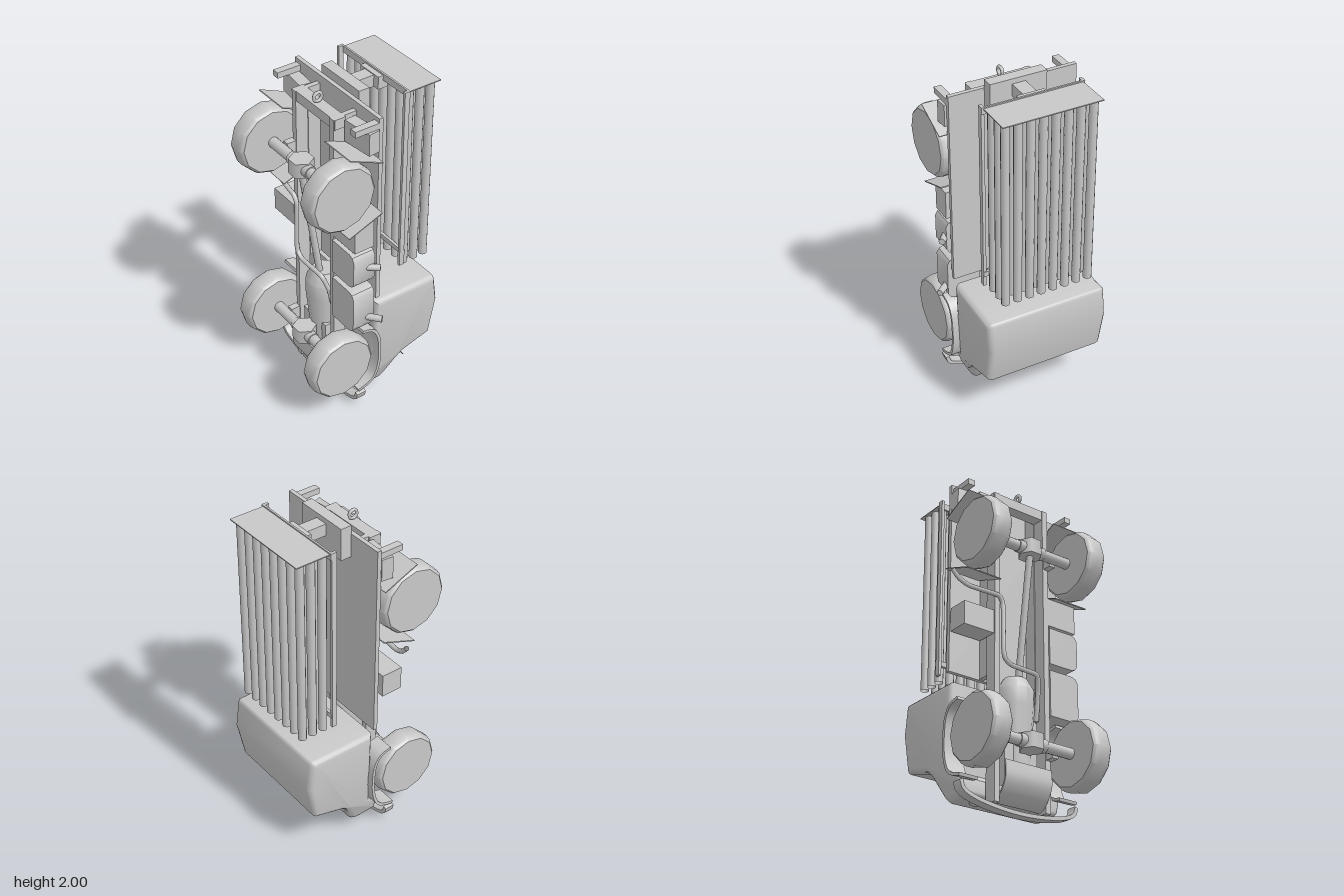
import * as THREE from 'three';
import { toCreasedNormals } from 'three/addons/utils/BufferGeometryUtils.js';

const grey = new THREE.MeshStandardMaterial({ color: 0xc8c8c8, side: THREE.DoubleSide });
grey.name = 'plain grey';

// The truck stands on its nose: forward is -y, its roof faces -z.
export function createModel() {
  const root = new THREE.Group();
  root.name = 'rocketTruck';
  const truck = new THREE.Group();
  truck.name = 'truck';
  truck.position.x = 0.015; // centre line of the chassis
  root.add(truck);

  const add = (name, geo, x = 0, y = 0, z = 0) => {
    const m = new THREE.Mesh(geo, grey);
    m.name = name;
    m.position.set(x, y, z);
    truck.add(m);
    return m;
  };
  // box given by its limits on each axis
  const box = (name, x0, x1, y0, y1, z0, z1) =>
    add(name, new THREE.BoxGeometry(x1 - x0, y1 - y0, z1 - z0), (x0 + x1) / 2, (y0 + y1) / 2, (z0 + z1) / 2);
  const tube = (name, pts, r, sides = 8) => {
    const path = new THREE.CatmullRomCurve3(pts.map(p => new THREE.Vector3(...p)), false, 'catmullrom', 0.25);
    return add(name, new THREE.TubeGeometry(path, pts.length * 6, r, sides));
  };
  const rod = (name, a, b, r, sides = 12) => {
    const p = new THREE.Vector3(...a), q = new THREE.Vector3(...b);
    const m = add(name, new THREE.CylinderGeometry(r, r, p.distanceTo(q), sides));
    m.position.copy(p).add(q).multiplyScalar(0.5);
    m.quaternion.setFromUnitVectors(new THREE.Vector3(0, 1, 0), q.sub(p).normalize());
    return m;
  };
  const extrude = (shape, depth, bevel = 0) => {
    const g = new THREE.ExtrudeGeometry(shape, {
      depth: depth - 2 * bevel, bevelEnabled: bevel > 0, bevelSize: bevel,
      bevelThickness: bevel, bevelOffset: -bevel, bevelSegments: 3, curveSegments: 6
    });
    return g.translate(0, 0, -(depth - 2 * bevel) / 2);
  };
  // curved strip of constant thickness, extruded across its width
  const strip = (pts, thick, width) => {
    const curve = new THREE.SplineCurve(pts.map(p => new THREE.Vector2(...p)));
    const side = s => curve.getPoints(20).map((p, i) => {
      const t = curve.getTangent(i / 20);
      return new THREE.Vector2(p.x - t.y * s, p.y + t.x * s);
    });
    const shape = new THREE.Shape([...side(thick / 2), ...side(-thick / 2).reverse()]);
    return toCreasedNormals(extrude(shape, width), 0.6);
  };
  // side profiles use (-z, y)
  const sideways = g => g.rotateY(Math.PI / 2);

  // Cab with bonnet: side profile, rounded edges, narrowing nose
  const cabShape = new THREE.Shape();
  cabShape.moveTo(0, 0.725);
  cabShape.lineTo(0.405, 0.725);
  cabShape.quadraticCurveTo(0.42, 0.725, 0.425, 0.70);
  cabShape.lineTo(0.447, 0.54);
  cabShape.lineTo(0.40, 0.31);
  cabShape.lineTo(0.21, 0.257);
  cabShape.quadraticCurveTo(0.185, 0.245, 0.17, 0.21);
  cabShape.lineTo(0.12, 0.11);
  cabShape.quadraticCurveTo(0.095, 0.065, 0.06, 0.065);
  cabShape.lineTo(-0.05, 0.07);
  cabShape.quadraticCurveTo(-0.08, 0.075, -0.08, 0.1);
  cabShape.lineTo(-0.07, 0.17);
  cabShape.lineTo(0, 0.22);
  const cabGeo = sideways(extrude(cabShape, 0.74, 0.035));
  const p = cabGeo.attributes.position;
  for (let i = 0; i < p.count; i++) {
    const t = THREE.MathUtils.clamp((0.26 - p.getY(i)) / 0.2, 0, 1);
    p.setX(i, p.getX(i) * (1 - 0.18 * t));
  }
  cabGeo.deleteAttribute('normal');
  add('cab', toCreasedNormals(cabGeo, 0.6));

  // Chassis frame and load bed
  box('loadBed', -0.385, 0.375, 0.775, 1.95, -0.013, 0.012);
  box('rearCrossMember', -0.195, 0.195, 1.84, 1.9, 0.09, 0.16);
  box('frontCrossMember', -0.19, 0.19, 0.1, 0.14, 0.09, 0.15);
  const hook = add('towHook', new THREE.TorusGeometry(0.025, 0.01, 6, 14), 0, 1.935, 0.13);
  hook.rotation.y = Math.PI / 2;

  // Wheel profile: flat faces, rounded shoulders
  const wheelGeo = toCreasedNormals(new THREE.LatheGeometry([
    [0, -0.063], [0.187, -0.063], [0.2, -0.05], [0.207, -0.02],
    [0.207, 0.02], [0.2, 0.05], [0.187, 0.063], [0, 0.063]
  ].map(a => new THREE.Vector2(...a)), 12), 0.6).rotateZ(Math.PI / 2);

  for (const [label, y] of [['front', 0.38], ['rear', 1.55]]) {
    rod(label + 'Axle', [-0.3, y, 0.24], [0.3, y, 0.24], 0.032);
    add(label + 'Differential', new THREE.CylinderGeometry(0.07, 0.07, 0.09, 6).toNonIndexed().rotateY(Math.PI / 6), 0, y, 0.24);
    for (const s of [-1, 1]) {
      add(label + 'Wheel', wheelGeo, s * 0.334, y, 0.24);
      rod(label + 'AxleCollar', [s * 0.05, y, 0.24], [s * 0.09, y, 0.24], 0.038);
      box(label + 'Spring', s * 0.18 - 0.02, s * 0.18 + 0.02, y - 0.04, y + 0.04, 0.15, 0.22);
    }
  }

  const arch = sideways(strip([[-0.11, 0.585], [-0.04, 0.565], [0, 0.5], [0.012, 0.4],
    [0.008, 0.3], [-0.02, 0.21], [-0.07, 0.17], [-0.135, 0.152]], 0.018, 0.12));
  for (const s of [-1, 1]) {
    const mid = (name, x0, x1, ...r) => box(name, Math.min(s * x0, s * x1), Math.max(s * x0, s * x1), ...r);
    mid('chassisRail', 0.155, 0.19, 0.04, 1.9, 0.09, 0.165);
    mid('bedBearer', 0.15, 0.18, 0.78, 1.9, 0.01, 0.09);
    add('frontWheelArch', arch, s * 0.335, 0, 0);
    // Sloping mudguards before and behind the rear wheels
    const rear = add('rearMudguard', new THREE.BoxGeometry(0.228, 0.006, 0.228), s * 0.307, 1.755, 0.12);
    rear.rotation.x = -0.405;
    const fore = add('foreMudguard', new THREE.BoxGeometry(0.228, 0.006, 0.228), s * 0.307, 1.35, 0.12);
    fore.rotation.x = 0.365;
    // Rear lockers and lamp brackets
    const locker = add('rearLocker', new THREE.BoxGeometry(0.19, 0.13, 0.07), s * 0.295, 1.825, 0.06);
    locker.rotation.y = -s * -0.1;
    mid('lampBracket', 0.332, 0.375, 1.89, 1.925, 0.01, 0.16);
    // Headlamps and marker rods
    const lamp = add('headlamp', new THREE.SphereGeometry(0.034, 14, 8), s * 0.2, 0.065, 0.015);
    lamp.scale.y = 0.5;
    mid('markerRod', 0.34, 0.385, 0.255, 0.26, -0.193, -0.189);
  }

  // Bumper
  add('bumper', strip([[-0.385, 0.125], [-0.365, 0.075], [-0.28, 0.042], [-0.14, 0.02],
    [0, 0.013], [0.14, 0.02], [0.28, 0.042], [0.365, 0.075], [0.385, 0.125]], 0.022, 0.06), 0, 0, 0.115);

  // Engine guard, gearbox and drive shaft
  add('engineGuard', sideways(strip([[-0.11, 0.055], [-0.15, 0.075], [-0.19, 0.12], [-0.215, 0.18], [-0.21, 0.265]], 0.01, 0.31)));
  box('engine', -0.12, 0.1, 0.1, 0.45, 0, 0.16);
  const gearbox = add('gearbox', toCreasedNormals(new THREE.LatheGeometry([
    [0, 0.27], [0.09, 0.27], [0.09, 0.42], [0.11, 0.62], [0.11, 0.72], [0.07, 0.79], [0, 0.79]
  ].map(a => new THREE.Vector2(...a)), 12), 0.7), 0, 0, 0.1);
  gearbox.scale.z = 0.95;
  rod('driveShaft', [0, 0.78, 0.13], [0, 1.52, 0.24], 0.02);

  // Exhaust
  tube('exhaustPipe', [[0.13, 0.57, 0.12], [0.12, 0.73, 0.15], [0.1, 0.81, 0.175], [0.07, 0.825, 0.18],
    [-0.09, 0.83, 0.185], [-0.135, 0.86, 0.185], [-0.145, 0.92, 0.185], [-0.145, 1.18, 0.18],
    [-0.17, 1.23, 0.18], [-0.22, 1.235, 0.175], [-0.36, 1.245, 0.155], [-0.42, 1.275, 0.145], [-0.46, 1.32, 0.14]], 0.014);

  // Fuel tanks with filler necks on one side, lockers on both
  const tankShape = (y0, y1) => new THREE.Shape([[0.19, y0], [0.35, y0], [0.375, y0 + 0.01], [0.39, y0 + 0.035],
    [0.39, y1 - 0.035], [0.375, y1 - 0.01], [0.35, y1], [0.19, y1]].map(a => new THREE.Vector2(...a)));
  for (const [y0, y1, fill, reach] of [[0.605, 0.88, 0.68, 0.45], [0.92, 1.14, 1.03, 0.425]]) {
    add('fuelTank', toCreasedNormals(extrude(tankShape(y0, y1), 0.14), 0.6), 0, 0, 0.105);
    rod('fillerNeck', [0.37, fill, 0.085], [reach, fill, 0.02], 0.02, 8);
  }
  box('toolLocker', 0.19, 0.385, 1.16, 1.33, 0.04, 0.165);
  box('batteryBox', -0.395, -0.195, 1.0, 1.14, 0.035, 0.165);

  // Launcher mount at the tail
  box('pivotBlock', -0.168, 0.168, 1.81, 2.0, -0.078, -0.012);
  box('pivotArm', -0.04, 0.04, 1.9, 1.97, -0.21, -0.07);
  box('pivotHead', -0.08, 0.08, 1.9, 1.975, -0.26, -0.2);
  box('launcherCrossBar', -0.3, 0.3, 1.945, 1.985, -0.243, -0.232);
  box('launcherFrontBar', -0.3, 0.3, 0.92, 0.95, -0.243, -0.225);
  for (const s of [-1, 1]) {
    box('launcherRail', s * 0.292 - 0.009, s * 0.292 + 0.009, 0.855, 1.985, -0.237, -0.207);
  }

  // Three rows of eight launch tubes with a closing plate
  box('launcherEndPlate', -0.29, 0.29, 1.972, 1.978, -0.45, -0.236);
  const tubeGeo = new THREE.CylinderGeometry(0.0245, 0.0245, 1.14, 12, 1, true);
  for (const z of [-0.268, -0.339, -0.407]) {
    for (let i = 0; i < 8; i++) add('launchTube', tubeGeo, (i - 3.5) * 0.073, 1.405, z);
  }
  return root;
}
